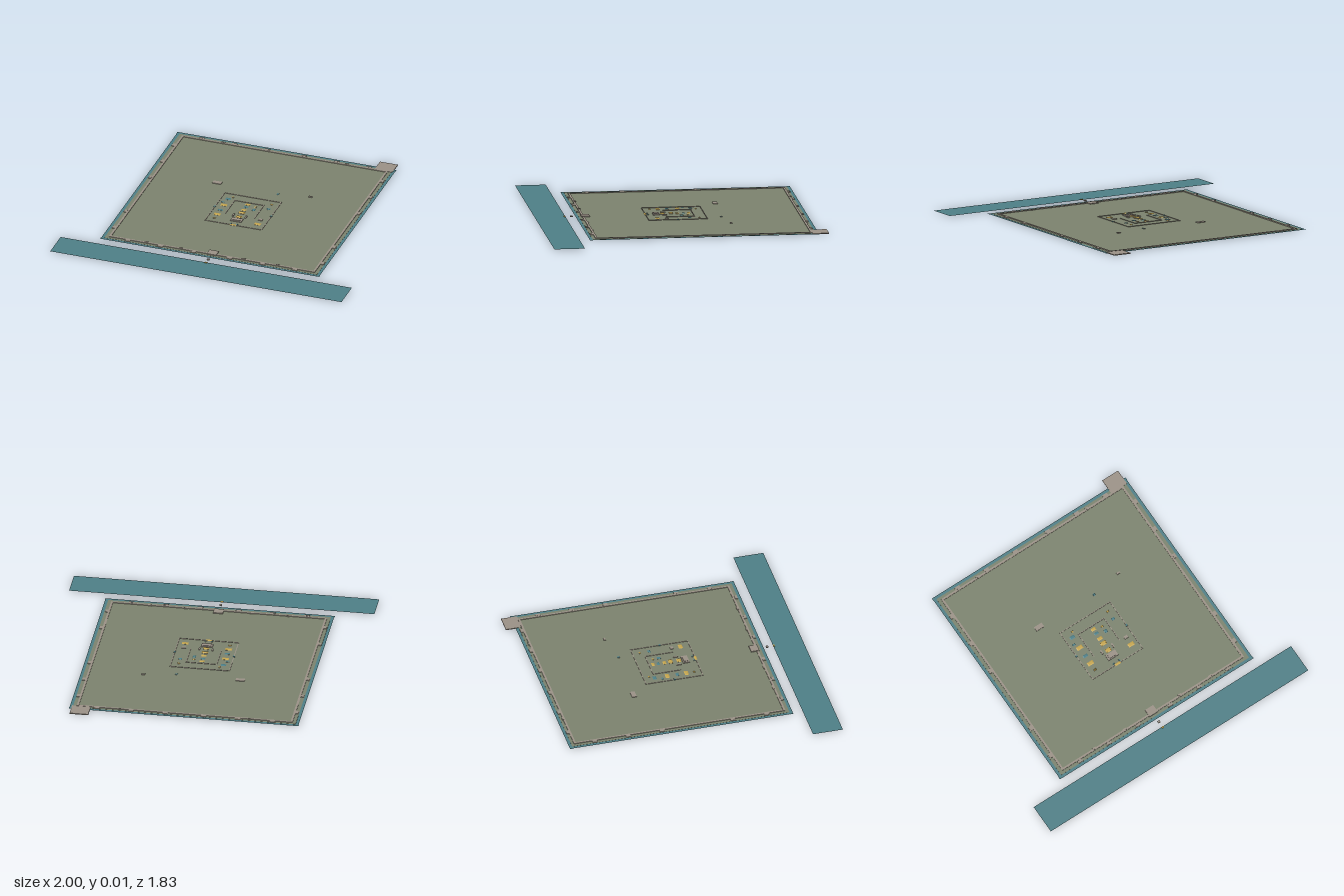
import * as THREE from 'three';

export function createModel() {
  const city = new THREE.Group();
  city.name = 'walledCity';
  const mat = (name, color) => {
    const m = new THREE.MeshStandardMaterial({ color, side: THREE.DoubleSide, flatShading: true });
    m.name = name;
    return m;
  };
  const earth = mat('earth', 0x7d846f);
  const water = mat('water', 0x4f8088);
  const stone = mat('stone', 0x9c9388);
  const gold = mat('goldTile', 0xc8a850);
  const teal = mat('tealTile', 0x4c7f88);

  const GROUND = 0.004;
  const add = (name, geo, material, x, y, z, parent = city) => {
    const m = new THREE.Mesh(geo, material);
    m.name = name;
    m.position.set(x, y, z);
    parent.add(m);
    return m;
  };
  // Box given by its centre on the plan and its bottom height
  const block = (name, material, x, z, w, d, h, y = GROUND, parent = city) =>
    add(name, new THREE.BoxGeometry(w, h, d), material, x, y + h / 2, z, parent);

  // Flat sheet of water
  const sheet = (name, x, z, w, d) =>
    add(name, new THREE.PlaneGeometry(w, d).rotateX(-Math.PI / 2), water, x, 0.003, z);

  // Rectangular ring of four walls
  const ring = (name, x0, x1, z0, z1, t, h) => {
    const g = new THREE.Group();
    g.name = name;
    city.add(g);
    const cx = (x0 + x1) / 2, cz = (z0 + z1) / 2;
    for (const z of [z0, z1]) block('wallAcross', stone, cx, z, x1 - x0 + t, t, h, GROUND, g);
    for (const x of [x0, x1]) block('wallAlong', stone, x, cz, t, z1 - z0 - t, h, GROUND, g);
  };

  // Hall: low body under a hipped roof
  const hall = (name, roof, x, z, w, d, h = 0.004) => {
    const g = new THREE.Group();
    g.name = name;
    city.add(g);
    block('body', stone, x, z, w * 0.85, d * 0.85, h * 0.5, GROUND, g);
    const geo = new THREE.BoxGeometry(w, h * 0.5, d);
    const p = geo.attributes.position;
    for (let i = 0; i < p.count; i++) {
      if (p.getY(i) > 0) p.setXYZ(i, p.getX(i) * 0.7, p.getY(i), p.getZ(i) * 0.5);
    }
    geo.computeVertexNormals();
    add('roof', geo, roof, x, GROUND + h * 0.75, z, g);
  };

  // Ground, moat and river
  block('ground', earth, 0, -0.1025, 1.46, 1.455, GROUND, 0);
  sheet('river', 0, 0.81, 2, 0.2);
  for (const s of [-1, 1]) {
    sheet('moatAlong', s * 0.74, -0.1025, 0.02, 1.455);
    sheet('moatAcross', 0, -0.1025 + s * 0.7375, 1.505, 0.02);
  }

  // City wall with bastions on all four sides
  ring('cityWall', -0.7, 0.7, -0.805, 0.597, 0.014, 0.0035);
  for (const z of [-0.675, -0.45, -0.225, 0.25, 0.475]) {
    for (const s of [-1, 1]) block('bastion', stone, s * 0.716, z, 0.02, 0.032, 0.004);
  }
  for (const x of [0.125, 0.35, 0.574]) {
    for (const s of [-1, 1]) {
      block('bastion', stone, s * x, -0.82, 0.036, 0.018, 0.004);
      block('bastion', stone, s * x, 0.614, 0.036, 0.018, 0.004);
    }
  }

  // Gatehouses, corner terrace and approach
  block('southGate', stone, 0, 0.582, 0.064, 0.055, 0.006);
  for (const x of [-0.45, -0.215, 0.215, 0.45]) block('smallGate', stone, x, 0.591, 0.025, 0.012, 0.005);
  for (const x of [-0.425, 0.425]) block('smallGate', stone, x, -0.811, 0.025, 0.012, 0.005);
  block('cornerTerrace', stone, 0.676, -0.862, 0.122, 0.106, 0.006, 0);
  block('approachPier', stone, 0, 0.67, 0.016, 0.016, 0.006, 0.001);
  block('approachGate', gold, 0, 0.715, 0.018, 0.01, 0.006, 0.001);

  // Palace precinct walls, the inner one open to the south
  ring('precinctWall', -0.194, 0.194, -0.193, 0.189, 0.005, 0.003);
  block('innerWallBack', stone, 0, -0.12, 0.205, 0.005, 0.003);
  for (const s of [-1, 1]) {
    block('innerWallSide', stone, s * 0.1, -0.028, 0.005, 0.185, 0.003);
    block('gateTower', stone, s * 0.043, 0.067, 0.01, 0.03, 0.005);
    block('sideGate', teal, s * 0.194, 0, 0.012, 0.012, 0.0045);
  }

  // Halls: x, z, width, depth, height
  const goldHalls = [
    [0, -0.094, 0.032, 0.021], [0, -0.018, 0.034, 0.022], [0, 0.022, 0.043, 0.028, 0.008],
    [0, 0.078, 0.038, 0.028, 0.006], [0, 0.19, 0.043, 0.016], [-0.145, -0.038, 0.043, 0.027],
    [-0.145, 0.09, 0.043, 0.027], [0.145, 0.127, 0.043, 0.027], [-0.123, -0.155, 0.013, 0.013],
    [0.057, -0.08, 0.016, 0.013], [0.145, -0.145, 0.016, 0.013], [-0.145, 0.143, 0.018, 0.011],
  ];
  const tealHalls = [
    [-0.145, -0.123, 0.034, 0.024], [-0.165, -0.075, 0.022, 0.013], [-0.145, 0.03, 0.034, 0.02],
    [0, -0.06, 0.03, 0.018], [0.059, -0.04, 0.022, 0.025], [0.145, -0.083, 0.024, 0.018],
    [0.136, -0.29, 0.016, 0.018], [-0.022, 0.176, 0.01, 0.014], [0.022, 0.176, 0.01, 0.014],
  ];
  goldHalls.forEach((a) => hall('goldHall', gold, ...a));
  tealHalls.forEach((a) => hall('tealHall', teal, ...a));

  // Stone platforms and outlying buildings
  block('palaceTerrace', stone, 0, 0.12, 0.075, 0.043, 0.005);
  block('palaceTerraceTop', stone, 0, 0.12, 0.05, 0.028, 0.008);
  block('stoneHall', stone, 0.145, 0.067, 0.027, 0.02, 0.004);
  block('westPlatform', stone, -0.284, -0.302, 0.059, 0.032, 0.004);
  block('eastPlatform', stone, 0.348, -0.327, 0.024, 0.013, 0.005);

  return city;
}
